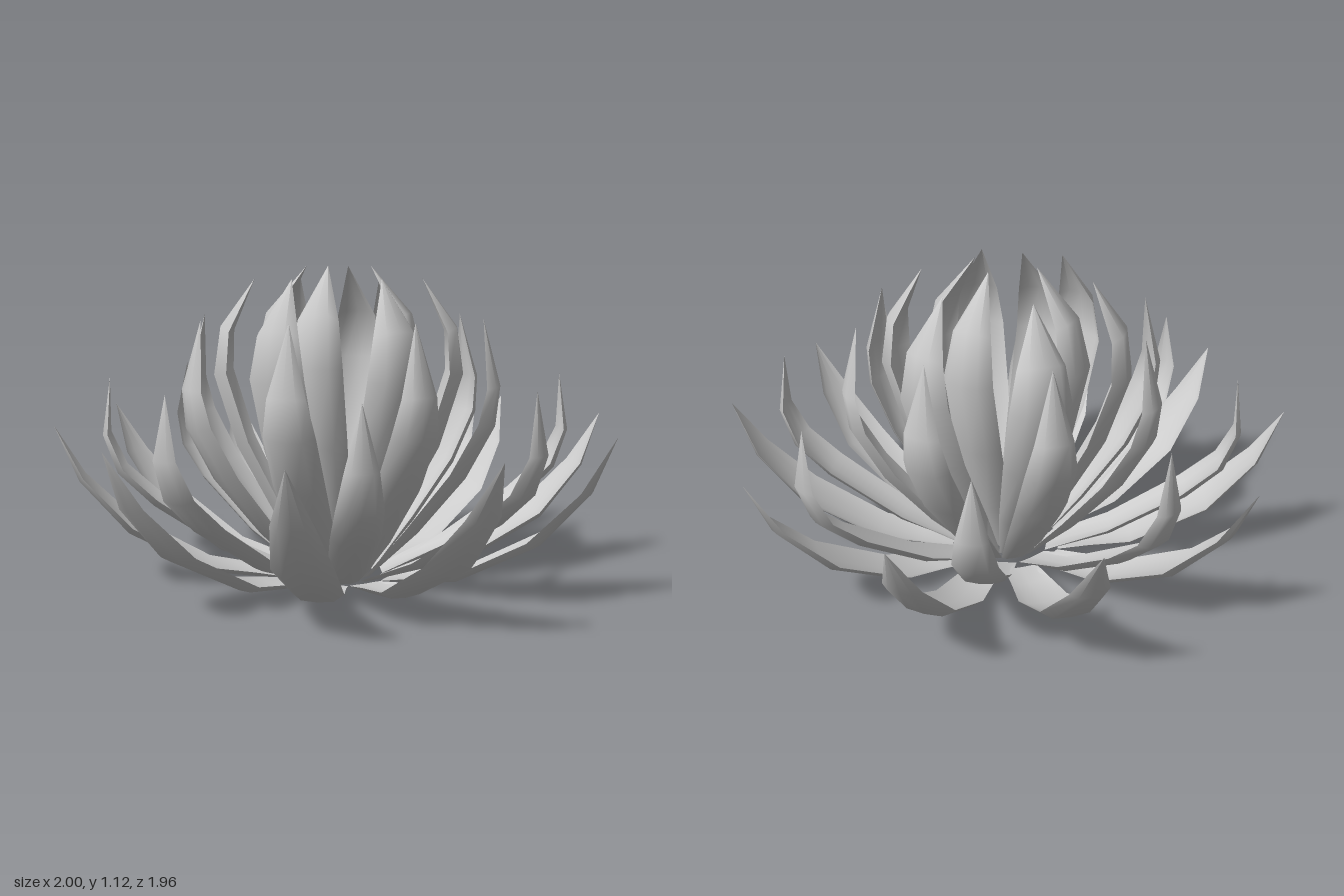
import * as THREE from 'three';

// Each ring: petal count, angle of first petal (degrees), cup depth,
// and the outer spine as [radius, height, half width] from base to tip
const RINGS = [
  { name: 'outerPetal', count: 10, start: 5, cup: 0.33,
    spine: [[0.2, 0, 0.063], [0.32, 0.01, 0.072], [0.48, 0.035, 0.088], [0.76, 0.19, 0.1], [0.925, 0.38, 0.066], [1.005, 0.575, 0]] },
  { name: 'lowerPetal', count: 8, start: 10, cup: 0.42,
    spine: [[0.16, 0, 0.06], [0.4, 0.09, 0.07], [0.67, 0.27, 0.08], [0.795, 0.39, 0.074], [0.845, 0.53, 0.053], [0.815, 0.735, 0]] },
  { name: 'middlePetal', count: 8, start: 32, cup: 0.5,
    spine: [[0.125, 0, 0.05], [0.3, 0.17, 0.075], [0.47, 0.38, 0.092], [0.57, 0.57, 0.09], [0.585, 0.71, 0.067], [0.523, 0.945, 0]] },
  { name: 'upperPetal', count: 6, start: 16, cup: 0.52,
    spine: [[0.09, 0, 0.05], [0.22, 0.2, 0.082], [0.37, 0.48, 0.108], [0.45, 0.74, 0.11], [0.425, 0.91, 0.083], [0.3, 1.08, 0]] },
  { name: 'innerPetal', count: 4, start: 32, cup: 0.52,
    spine: [[0.045, 0, 0.045], [0.14, 0.22, 0.075], [0.25, 0.5, 0.096], [0.31, 0.78, 0.096], [0.265, 0.96, 0.073], [0.12, 1.125, 0]] },
];

// Trough-shaped cross-section: [position across, lift, thickness]
const SECTION = [[-1, 1, 0], [-0.62, 0.15, 0.12], [0, 0, 0.12], [0.62, 0.15, 0.12], [1, 1, 0]];
const ROW = SECTION.length;

// A cupped petal pointing along +x: outer skin, inner skin and a base cap
function petalGeometry(spine, cup) {
  const positions = [];
  const index = [];
  const last = spine.length - 1;

  // One row of points across the petal, lifted towards its inner side
  const addRow = (i, inner) => {
    const [r, y, w] = spine[i];
    const before = spine[Math.max(i - 1, 0)];
    const after = spine[Math.min(i + 1, last)];
    const tangent = new THREE.Vector2(after[0] - before[0], after[1] - before[1]).normalize();
    const bend = i === 0 ? cup * 0.4 : cup; // flatter at the base
    for (const [s, rise, thickness] of SECTION) {
      const lift = w * (bend * rise + (inner ? thickness : 0));
      positions.push(r - tangent.y * lift, y + tangent.x * lift, w * s);
    }
  };
  const addStrip = (a, b, flip) => {
    for (let j = 0; j < ROW - 1; j++) {
      const quad = [a + j, a + j + 1, b + j + 1, b + j];
      if (flip) quad.reverse();
      const [p, q, r, s] = quad;
      index.push(p, q, r, p, r, s);
    }
  };

  // Outer and inner skins
  for (const inner of [false, true]) {
    const first = positions.length / 3;
    for (let i = 0; i <= last; i++) addRow(i, inner);
    for (let i = 0; i < last; i++) addStrip(first + i * ROW, first + (i + 1) * ROW, !inner);
  }
  // Base cap
  const cap = positions.length / 3;
  addRow(0, false);
  addRow(0, true);
  addStrip(cap, cap + ROW, false);

  const geometry = new THREE.BufferGeometry();
  geometry.setAttribute('position', new THREE.Float32BufferAttribute(positions, 3));
  geometry.setIndex(index);
  geometry.computeVertexNormals();
  return geometry;
}

export function createModel() {
  const flower = new THREE.Group();
  flower.name = 'flower';
  const material = new THREE.MeshStandardMaterial({ color: 0xcccccc, side: THREE.DoubleSide });

  for (const { name, count, start, cup, spine } of RINGS) {
    const ring = new THREE.Group();
    ring.name = name + 'Ring';
    const geometry = petalGeometry(spine, cup);
    for (let k = 0; k < count; k++) {
      const petal = new THREE.Mesh(geometry, material);
      petal.name = name;
      petal.rotation.y = -THREE.MathUtils.degToRad(start + (k * 360) / count);
      ring.add(petal);
    }
    flower.add(ring);
  }
  return flower;
}
